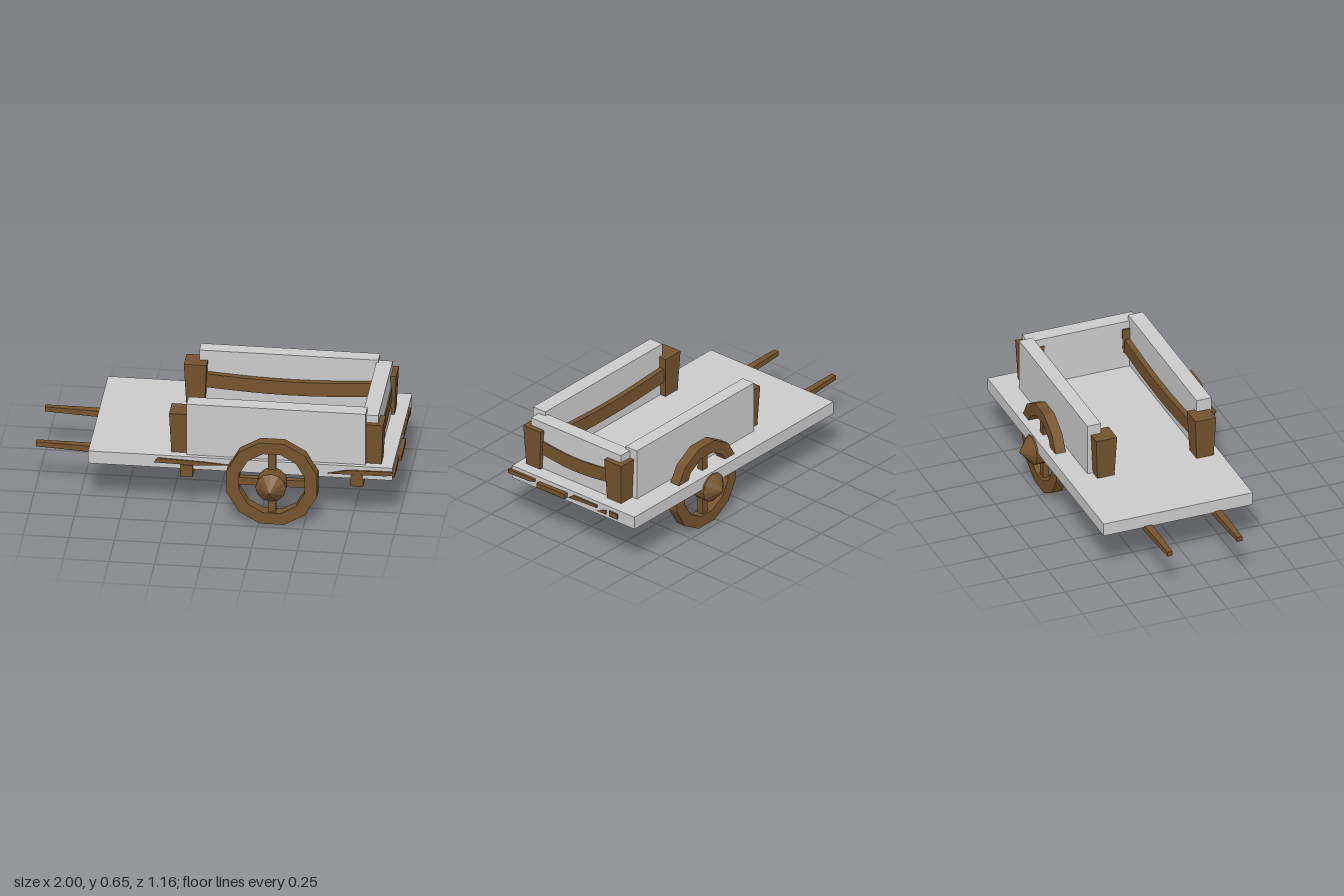
import * as THREE from 'three';

export function createModel() {
  const cart = new THREE.Group();
  cart.name = 'handCart';

  const panelGrey = new THREE.MeshStandardMaterial({ color: 0xcbcbcb });
  panelGrey.name = 'pale grey boards';
  const wood = new THREE.MeshStandardMaterial({ color: 0x74532d });
  wood.name = 'brown wood';

  const add = (name, geometry, material, parent = cart) => {
    const flat = geometry.index ? geometry.toNonIndexed() : geometry;
    flat.computeVertexNormals();
    const mesh = new THREE.Mesh(flat, material);
    mesh.name = name;
    parent.add(mesh);
    return mesh;
  };

  // Box given by its limits on each axis, optionally subdivided
  const span = (x0, x1, y0, y1, z0, z1, sx = 1, sz = 1) =>
    new THREE.BoxGeometry(x1 - x0, y1 - y0, z1 - z0, sx, 1, sz)
      .translate((x0 + x1) / 2, (y0 + y1) / 2, (z0 + z1) / 2);

  // Move every vertex by a rule
  const warp = (geometry, rule) => {
    const p = geometry.attributes.position;
    const v = new THREE.Vector3();
    for (let i = 0; i < p.count; i++) {
      rule(v.fromBufferAttribute(p, i));
      p.setXYZ(i, v.x, v.y, v.z);
    }
    return geometry;
  };

  // Deck and the three walls
  add('deck', span(-0.69, 0.975, 0.265, 0.34, -0.5, 0.375), panelGrey);
  add('frontWall', span(-0.155, 0.825, 0.34, 0.65, 0.265, 0.352), panelGrey);
  add('backWall', span(-0.165, 0.815, 0.34, 0.64, -0.38, -0.3), panelGrey);
  add('endWall', span(0.803, 0.89, 0.34, 0.625, -0.33, 0.312), panelGrey);

  // Corner posts, narrower at the foot
  for (const [x, z] of [[-0.19, 0.28], [0.858, 0.28], [-0.18, -0.298], [0.858, -0.298]]) {
    const post = warp(new THREE.BoxGeometry(0.124, 0.24, 0.122), (v) => {
      if (v.y < 0) { v.x *= 0.82; v.z *= 0.82; }
    });
    add('cornerPost', post.translate(x, 0.46, z), wood);
  }

  // Rails that sag between the posts
  const sag = (axis, from, to) => (v) => {
    const t = (v[axis] - from) / (to - from);
    v.y -= 0.022 * Math.sin(Math.PI * t);
  };
  add('frontRail', warp(span(-0.14, 0.82, 0.432, 0.514, 0.235, 0.27, 8, 1), sag('x', -0.14, 0.82)), wood);
  add('backRail', warp(span(-0.14, 0.82, 0.432, 0.514, -0.305, -0.268, 8, 1), sag('x', -0.14, 0.82)), wood);
  add('endRail', warp(span(0.865, 0.897, 0.432, 0.514, -0.25, 0.235, 1, 8), sag('z', -0.25, 0.235)), wood);

  // Bearers under the deck
  add('rearBearer', span(-0.187, -0.118, 0.22, 0.29, -0.37, 0.381), wood);
  add('frontBearer', span(0.745, 0.815, 0.22, 0.29, -0.37, 0.381), wood);

  // Pulling shafts, tapering to the tip
  for (const z of [0.172, -0.237]) {
    const shaft = warp(span(-1, -0.115, 0.225, 0.268, -0.03, 0.03, 2), (v) => {
      const high = v.y > 0.245;
      if (v.x < -0.9) {
        v.y = high ? 0.277 : 0.25;
        v.z *= 0.5;
      } else if (v.x < -0.2) {
        v.x = -0.45;
        v.y = high ? 0.268 : 0.226;
        v.z *= 0.9;
      }
      v.z += z;
    });
    add('pullShaft', shaft, wood);
  }

  // Wheels: twelve-sided rim, four spokes, pointed hub and axle stub
  const polygon = (target, radius) => {
    for (let i = 0; i < 12; i++) {
      const a = (i + 0.5) * Math.PI / 6;
      const q = [radius * Math.cos(a), radius * Math.sin(a)];
      i ? target.lineTo(...q) : target.moveTo(...q);
    }
    target.closePath();
    return target;
  };
  for (const side of [1, -1]) {
    const wheel = new THREE.Group();
    wheel.name = side > 0 ? 'frontWheel' : 'backWheel';
    const rim = polygon(new THREE.Shape(), 0.256);
    rim.holes.push(polygon(new THREE.Path(), 0.186));
    add('rim', new THREE.ExtrudeGeometry(rim, { depth: 0.06, bevelEnabled: false }).translate(0, 0, -0.03), wood, wheel);
    add('uprightSpokes', new THREE.BoxGeometry(0.042, 0.38, 0.035), wood, wheel);
    add('levelSpokes', new THREE.BoxGeometry(0.38, 0.042, 0.035), wood, wheel);
    const hub = [[0, -0.01], [0.082, -0.01], [0.084, 0.078], [0, 0.148]].map((q) => new THREE.Vector2(...q));
    add('hub', new THREE.LatheGeometry(hub, 12).rotateX(Math.PI / 2), wood, wheel);
    add('axleStub', new THREE.CylinderGeometry(0.025, 0.025, 0.12, 8).rotateX(Math.PI / 2).translate(0, 0, -0.06), wood, wheel);
    wheel.position.set(0.325, 0.248, side * 0.431);
    if (side < 0) wheel.rotation.y = Math.PI;
    cart.add(wheel);
  }

  // Worn wood slivers showing at the deck edges, drawn as outlines
  const sliver = (points, depth) => new THREE.ExtrudeGeometry(
    new THREE.Shape(points.map((q) => new THREE.Vector2(...q))), { depth, bevelEnabled: false });
  const frontSlivers = [
    [[-0.33, 0.297], [-0.1, 0.293], [0.08, 0.305], [-0.06, 0.315], [-0.31, 0.325]],
    [[0.62, 0.29], [0.94, 0.293], [0.985, 0.302], [0.97, 0.32], [0.73, 0.316]],
  ];
  for (const points of frontSlivers) {
    add('frontEdgeSliver', sliver(points, 0.009).translate(0, 0, 0.374), wood);
  }
  // Points here run along -z, and the last number is how far the piece sticks out
  const endSlivers = [
    [[[-0.39, 0.294], [-0.24, 0.296], [-0.205, 0.304], [-0.205, 0.32], [-0.39, 0.318]], 0.014],
    [[[-0.178, 0.285], [0.022, 0.287], [0.022, 0.317], [-0.178, 0.313]], 0.025],
    [[[0.035, 0.294], [0.13, 0.3], [0.235, 0.304], [0.235, 0.32], [0.07, 0.32]], 0.009],
    [[[0.24, 0.286], [0.3, 0.286], [0.3, 0.313]], 0.006],
    [[[0.325, 0.285], [0.382, 0.285], [0.382, 0.317], [0.325, 0.317]], 0.009],
  ];
  for (const [points, depth] of endSlivers) {
    add('endEdgeSliver', sliver(points, depth).rotateY(Math.PI / 2).translate(0.975, 0, 0), wood);
  }

  return cart;
}
